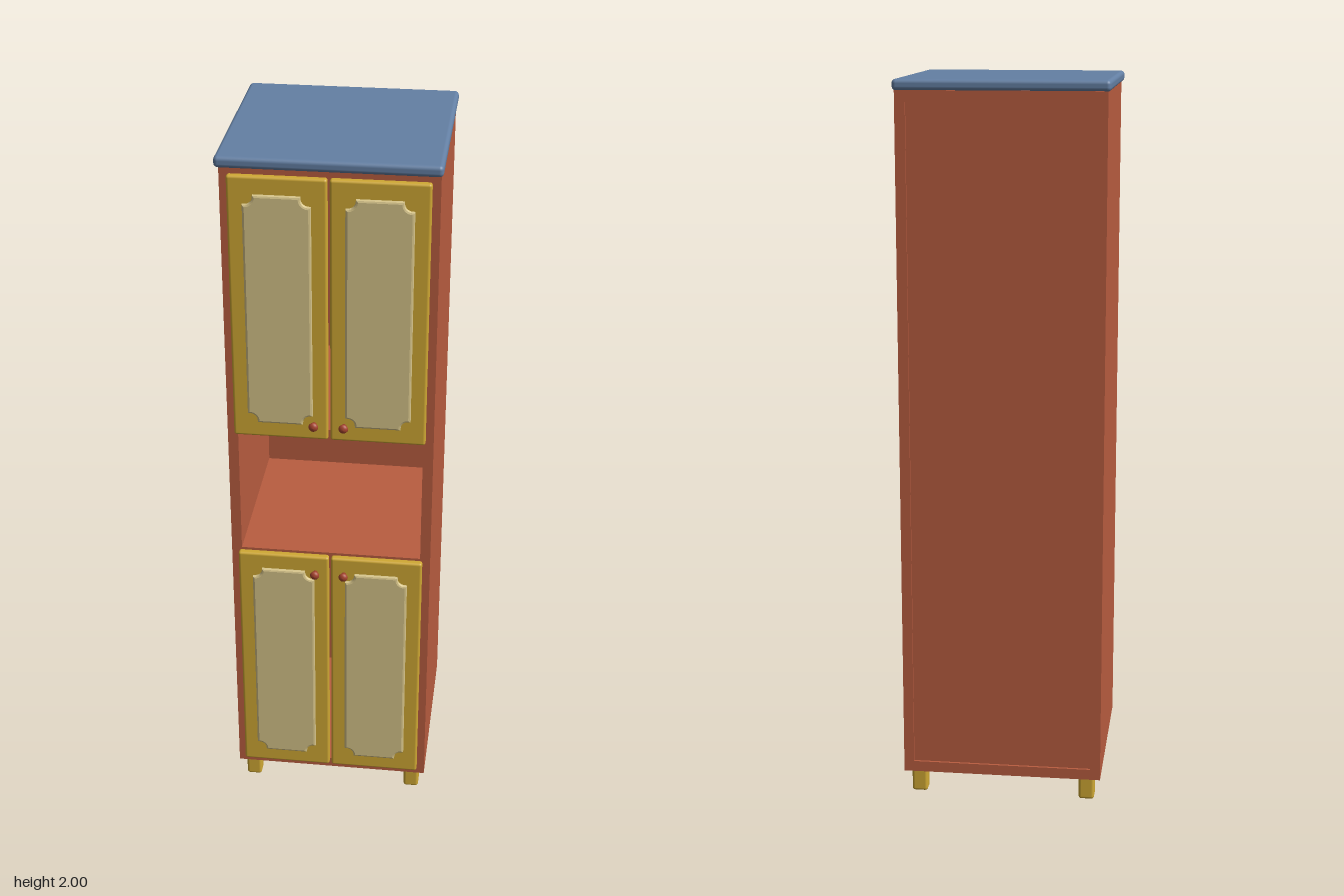
import * as THREE from 'three';
import { RoundedBoxGeometry } from 'three/addons/geometries/RoundedBoxGeometry.js';

export function createModel() {
  const model = new THREE.Group();
  model.name = 'tallCabinet';

  const mat = (name, color) => {
    const m = new THREE.MeshStandardMaterial({ color });
    m.name = name;
    return m;
  };
  const redWood = mat('red wood', 0xb95d40);
  const yellowPaint = mat('yellow paint', 0xd0a934);
  const beigePanel = mat('beige panel', 0xd6c48a);
  const blueTop = mat('blue top', 0x6480a4);
  const knobRed = mat('dark red knob', 0xa8452f);

  const add = (name, geometry, material, x = 0, y = 0, z = 0, parent = model) => {
    const mesh = new THREE.Mesh(geometry, material);
    mesh.name = name;
    mesh.position.set(x, y, z);
    parent.add(mesh);
    return mesh;
  };
  // Box given by its limits on each axis; r rounds the edges
  const board = (name, material, [x0, x1], [y0, y1], [z0, z1], r = 0) => {
    const size = [x1 - x0, y1 - y0, z1 - z0];
    const g = r ? new RoundedBoxGeometry(...size, 3, r) : new THREE.BoxGeometry(...size);
    return add(name, g, material, (x0 + x1) / 2, (y0 + y1) / 2, (z0 + z1) / 2);
  };

  // Carcass: sides, shelves and a slightly recessed back
  const front = 0.243, back = -0.291;
  for (const s of [-1, 1]) {
    const xs = [0.25 * s, 0.278 * s].sort((a, b) => a - b);
    board(s > 0 ? 'leftSide' : 'rightSide', redWood, xs, [0.07, 1.972], [back, front]);
  }
  const inner = [-0.25, 0.25];
  board('bottomBoard', redWood, inner, [0.07, 0.1], [back, front]);
  board('nicheFloor', redWood, inner, [0.81, 0.836], [-0.25, front]);
  board('nicheCeiling', redWood, inner, [1.204, 1.23], [-0.25, front]);
  board('topBoard', redWood, inner, [1.942, 1.972], [back, front]);
  board('backPanel', redWood, inner, [0.1, 1.942], [-0.284, -0.25]);

  // Worktop
  board('topSlab', blueTop, [-0.285, 0.285], [1.97, 2], [-0.293, 0.277], 0.011);

  // Feet
  for (const x of [-0.238, 0.238]) {
    for (const z of [-0.248, 0.202]) {
      add('foot', new RoundedBoxGeometry(0.044, 0.074, 0.044, 2, 0.008), yellowPaint, x, 0.037, z);
    }
  }

  // Door panel outline with scooped corners
  const panelShape = (w, h, r, step) => {
    const s = new THREE.Shape();
    const corners = [[1, 1, 0], [-1, 1, 1], [-1, -1, 2], [1, -1, 3]];
    corners.forEach(([sx, sy, k]) => {
      const a = -Math.PI / 2 + k * Math.PI / 2;
      const cx = sx * w, cy = sy * h;
      // small square steps lead into and out of each scoop
      const odd = k % 2 === 1;
      const start = odd ? [cx - sx * (r + step), cy] : [cx, cy - sy * (r + step)];
      const end = odd ? [cx, cy - sy * (r + step)] : [cx - sx * (r + step), cy];
      if (k === 0) s.moveTo(...start); else s.lineTo(...start);
      const n = 8;
      for (let i = 0; i <= n; i++) {
        const t = a - (i / n) * Math.PI / 2;
        s.lineTo(cx + r * Math.cos(t), cy + r * Math.sin(t));
      }
      s.lineTo(...end);
    });
    s.closePath();
    return s;
  };
  const panelGeo = new THREE.ExtrudeGeometry(panelShape(0.081, 0.317, 0.026, 0.007), {
    depth: 0.003, bevelEnabled: true, bevelThickness: 0.006, bevelSize: 0.006, bevelSegments: 2,
  });

  // Knob turned about its axis
  const knobProfile = [[0, 0], [0.006, 0], [0.006, 0.011], [0.011, 0.014], [0.013, 0.019], [0.011, 0.024], [0.006, 0.027], [0, 0.028]]
    .map(([x, y]) => new THREE.Vector2(x, y));
  const knobGeo = new THREE.LatheGeometry(knobProfile, 20).rotateX(Math.PI / 2);

  // Two pairs of doors, with knobs next to the niche
  const rows = [['upper', 1.579, -0.322], ['lower', 0.463, 0.32]];
  for (const [row, y, knobY] of rows) {
    for (const s of [-1, 1]) {
      const door = new THREE.Group();
      door.name = row + (s > 0 ? 'LeftDoor' : 'RightDoor');
      door.position.set(s * 0.13, y, front);
      model.add(door);
      add('doorLeaf', new RoundedBoxGeometry(0.254, 0.738, 0.022, 3, 0.007), yellowPaint, 0, 0, 0.011, door);
      add('doorPanel', panelGeo, beigePanel, 0, 0, 0.0225, door);
      add('knob', knobGeo, knobRed, -s * 0.09, knobY, 0.02, door);
    }
  }
  return model;
}
